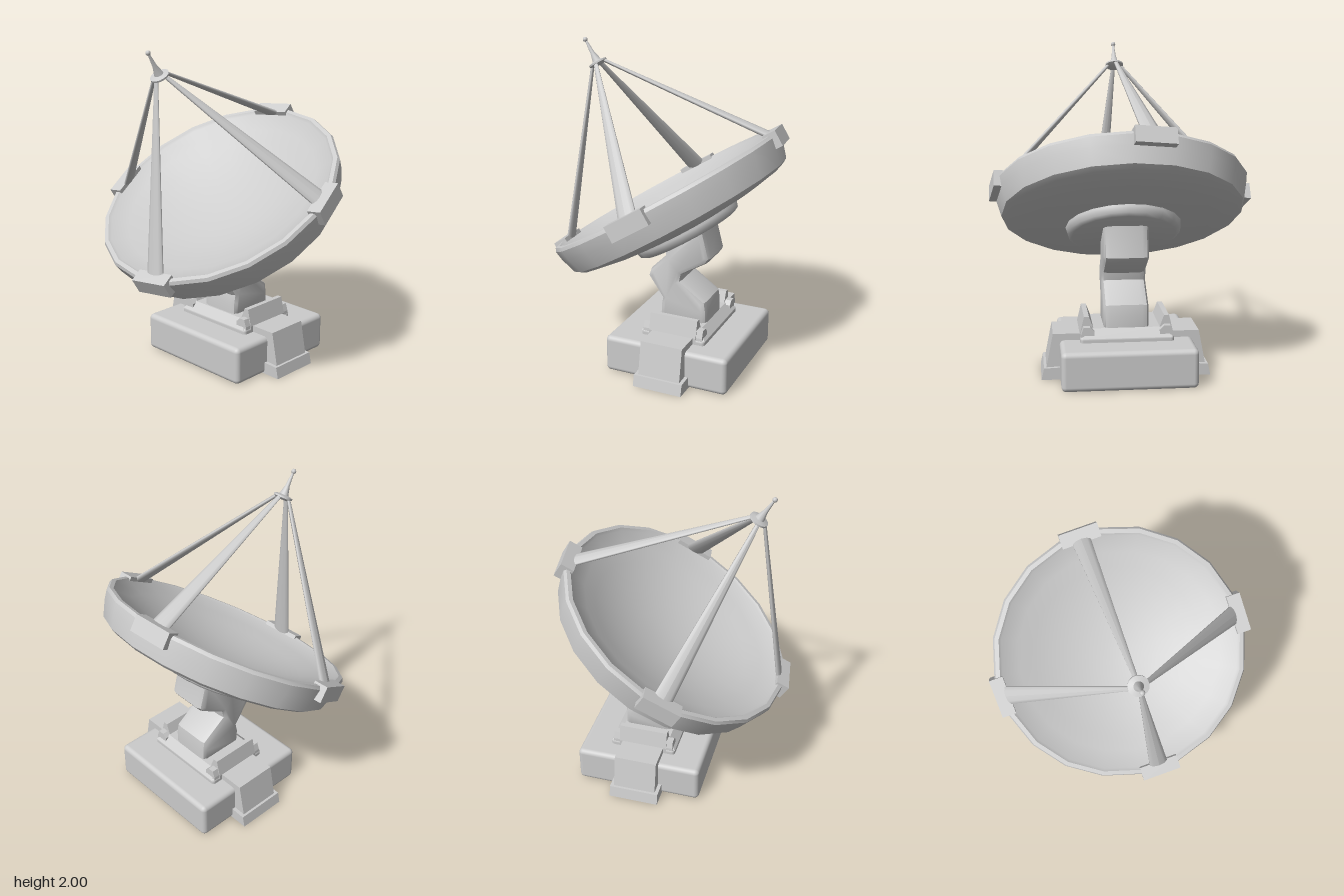
import * as THREE from 'three';
import { toCreasedNormals } from 'three/addons/utils/BufferGeometryUtils.js';
import { RoundedBoxGeometry } from 'three/addons/geometries/RoundedBoxGeometry.js';

const grey = new THREE.MeshStandardMaterial({ color: 0xcccccc });
const MID_Z = -0.15; // the base is set back under the tilted dish

function add(parent, name, geometry, x = 0, y = 0, z = 0) {
  const mesh = new THREE.Mesh(geometry, grey);
  mesh.name = name;
  mesh.position.set(x, y, z);
  parent.add(mesh);
  return mesh;
}

const shapeOf = (pts) => new THREE.Shape(pts.map(([x, y]) => new THREE.Vector2(x, y)));

// Prism with an (x, y) outline, centred on z
function prism(pts, depth) {
  const g = new THREE.ExtrudeGeometry(shapeOf(pts), { depth, bevelEnabled: false });
  return g.translate(0, 0, -depth / 2);
}

// Box narrowed towards the top
function taperedBox(w, h, d, inset) {
  const g = new THREE.BoxGeometry(w, h, d);
  const p = g.attributes.position;
  for (let i = 0; i < p.count; i++) {
    if (p.getY(i) < 0) continue;
    p.setX(i, p.getX(i) - Math.sign(p.getX(i)) * inset);
    p.setZ(i, p.getZ(i) - Math.sign(p.getZ(i)) * inset);
  }
  g.computeVertexNormals();
  return g;
}

function lathe(pts, sides, crease = 0.6) {
  const g = new THREE.LatheGeometry(pts.map(([x, y]) => new THREE.Vector2(x, y)), sides);
  return toCreasedNormals(g, crease);
}

function buildBase() {
  const base = new THREE.Group();
  base.name = 'base';
  base.position.z = MID_Z;
  add(base, 'plinth', new RoundedBoxGeometry(0.8, 0.235, 0.8, 4, 0.03), 0, 0.1175, 0);
  add(base, 'platform', new RoundedBoxGeometry(0.56, 0.1, 0.42, 3, 0.02), 0, 0.22, 0);
  add(base, 'platformTop', taperedBox(0.54, 0.05, 0.42, 0.05), 0, 0.285, 0);
  for (const s of [-1, 1]) {
    const side = (pts) => pts.map(([x, y]) => [s * x, y]);
    add(base, 'sideBlock', prism(side([[0.25, 0.01], [0.485, 0.01], [0.48, 0.07], [0.44, 0.275], [0.25, 0.275]]), 0.27));
    add(base, 'foot', prism(side([[0.38, 0], [0.51, 0], [0.495, 0.07], [0.38, 0.075]]), 0.315));
    add(base, 'fin', prism(side([[0.2, 0.22], [0.28, 0.22], [0.28, 0.275], [0.255, 0.38], [0.225, 0.38], [0.195, 0.3]]), 0.31));
    // Lower shoulders at both ends of the fin
    add(base, 'finShoulder', prism(side([[0.2, 0.22], [0.28, 0.22], [0.275, 0.28], [0.26, 0.325], [0.22, 0.325], [0.195, 0.3]]), 0.39));
  }
  return base;
}

// Zigzag column: a (z, y) outline extruded across x
function columnGeometry() {
  const outline = shapeOf([
    [0, 0.28], [0, 0.38], [-0.01, 0.43], [0.085, 0.565], [0.07, 0.61], [-0.03, 0.71], [-0.03, 0.83],
    [-0.28, 0.95], [-0.285, 0.89], [-0.325, 0.735], [-0.3, 0.7], [-0.145, 0.605],
    [-0.135, 0.56], [-0.3, 0.445], [-0.31, 0.38], [-0.31, 0.28],
  ]);
  const g = new THREE.ExtrudeGeometry(outline, {
    depth: 0.19, bevelThickness: 0.04, bevelSize: 0.03, bevelOffset: -0.03, bevelSegments: 2,
  });
  g.translate(0, 0, -0.095).rotateY(-Math.PI / 2);
  return toCreasedNormals(g, 0.75);
}

// Flat tapered strut from point a to point b, its broad face along the rim
function strutGeometry(a, b) {
  const g = new THREE.CylinderGeometry(0.013, 0.06, a.distanceTo(b), 10);
  const p = g.attributes.position;
  for (let i = 0; i < p.count; i++) p.setZ(i, p.getZ(i) * (p.getY(i) > 0 ? 0.8 : 0.32));
  g.computeVertexNormals();
  const dir = b.clone().sub(a);
  g.rotateX(Math.atan2(dir.z, dir.y));
  const mid = a.clone().add(b).multiplyScalar(0.5);
  return g.translate(mid.x, mid.y, mid.z);
}

function buildDish() {
  const dish = new THREE.Group();
  dish.name = 'dish';
  dish.position.set(0, 1.11, 0.02);
  dish.rotation.x = 0.55;

  // Reflector: outer shell, rim and parabolic inner face
  const profile = [
    [0, -0.26], [0.34, -0.26], [0.55, -0.232], [0.7, -0.2], [0.735, -0.18],
    [0.765, -0.08], [0.775, -0.02], [0.765, 0], [0.74, 0.002], [0.725, -0.012],
  ];
  for (let i = 7; i >= 0; i--) {
    const r = (0.71 * i) / 8;
    profile.push([r, -0.2 + 0.19 * (r / 0.71) ** 2]);
  }
  add(dish, 'reflector', lathe(profile, 20));
  add(dish, 'hub', lathe([[0, -0.32], [0.315, -0.32], [0.34, -0.305], [0.35, -0.27], [0.35, -0.23]], 20, 0.9));

  // Four brackets with struts rising to the feed
  for (let i = 0; i < 4; i++) {
    const arm = new THREE.Group();
    arm.name = 'arm';
    arm.rotation.y = Math.PI / 20 + (i * Math.PI) / 2;
    add(arm, 'bracket', new THREE.BoxGeometry(0.24, 0.1, 0.085), 0, -0.035, 0.757);
    add(arm, 'strut', strutGeometry(new THREE.Vector3(0, -0.01, 0.735), new THREE.Vector3(0, 0.862, 0.04)));
    dish.add(arm);
  }

  // Feed: collar, spike and ball tip
  add(dish, 'feed', lathe([
    [0, 0.845], [0.035, 0.848], [0.058, 0.86], [0.058, 0.87], [0.028, 0.878], [0.014, 0.93], [0.006, 1.02], [0, 1.02],
  ], 16));
  add(dish, 'tipBall', new THREE.SphereGeometry(0.015, 12, 8), 0, 1.023, 0);
  return dish;
}

export function createModel() {
  const model = new THREE.Group();
  model.name = 'dishAntenna';
  model.add(buildBase());
  add(model, 'column', columnGeometry());
  model.add(buildDish());
  return model;
}
